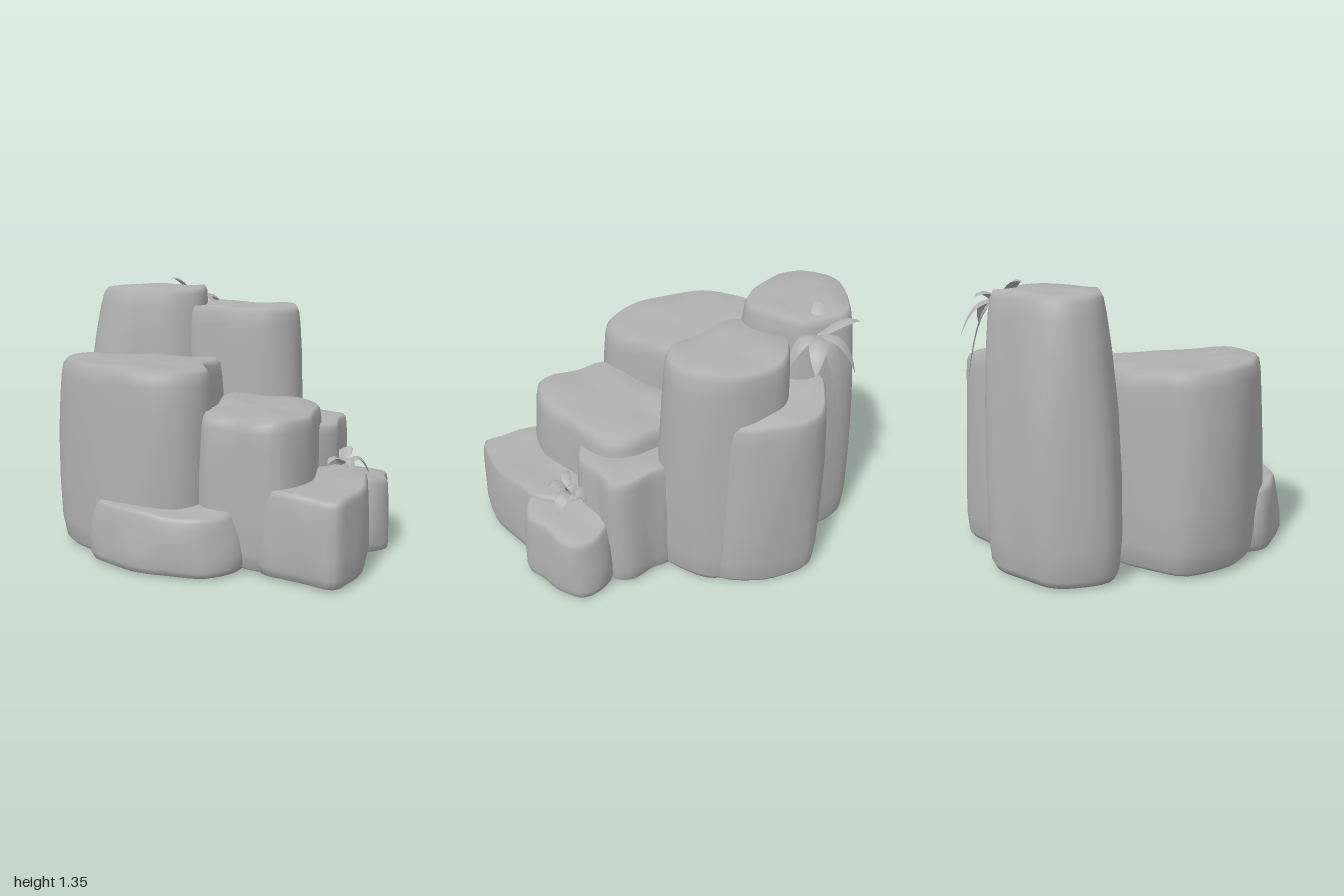
import * as THREE from 'three';

const N = 48;
// Wall profile: [height fraction, outline scale]
const PROFILE = [[0.012, 0.9], [0.035, 0.96], [0.14, 1], [0.35, 1.005], [0.6, 1], [0.8, 0.985], [0.92, 0.97], [0.975, 0.95], [1, 0.9], [1, 0.55]];

// Boulder lofted from an x,z outline; the top may shrink, shift and tilt
function rock(name, flat, h, material, o = {}) {
  const { top = 0.97, dx = 0, dz = 0, sx = 0, sz = 0, seed = 0, bump = 0.012 } = o;
  const pts = [];
  for (let i = 0; i < flat.length; i += 2) pts.push(new THREE.Vector3(flat[i], 0, flat[i + 1]));
  const curve = new THREE.CatmullRomCurve3(pts, true, 'centripetal');
  const ring = curve.getSpacedPoints(N).slice(0, N);
  let area = 0;
  ring.forEach((p, i) => {
    const q = ring[(i + 1) % N];
    area += p.x * q.z - q.x * p.z;
  });
  if (area < 0) ring.reverse();
  const c = new THREE.Vector3();
  ring.forEach(p => c.addScaledVector(p, 1 / N));

  const pos = [], index = [];
  for (const [t, s] of PROFILE) {
    const k = s * (1 + (top - 1) * t * t);
    ring.forEach((p, i) => {
      const a = i / N * Math.PI * 2;
      const lump = 1 + bump * (Math.sin(4 * a + t * 5 + seed) + Math.sin(7 * a - t * 4 + seed * 2) - 1);
      const x = (p.x - c.x) * k * lump, z = (p.z - c.z) * k * lump;
      const wave = t > 0.7 ? 0.01 * Math.sin(x * 13 + seed) * Math.cos(z * 11 + seed) : 0;
      const y = t < 0.02 ? 0.01 : t * (h + sx * x + sz * z) + wave;
      pos.push(c.x + x + dx * t * t, y, c.z + z + dz * t * t);
    });
  }
  const rows = PROFILE.length;
  for (let r = 0; r < rows - 1; r++) for (let i = 0; i < N; i++) {
    const a = r * N + i, b = r * N + (i + 1) % N;
    index.push(a, a + N, b, b, a + N, b + N);
  }
  // Top and underside caps
  const hi = pos.length / 3, last = (rows - 1) * N;
  pos.push(c.x + dx, h, c.z + dz, c.x, 0, c.z);
  for (let i = 0; i < N; i++) {
    const j = (i + 1) % N;
    index.push(hi, last + j, last + i, hi + 1, i, j);
  }
  const g = new THREE.BufferGeometry();
  g.setAttribute('position', new THREE.Float32BufferAttribute(pos, 3));
  g.setIndex(index);
  g.computeVertexNormals();
  const m = new THREE.Mesh(g, material);
  m.name = name;
  return m;
}

// Pointed, folded leaf that arches from its root to its tip
function leaf(root, mid, tip, width, material) {
  const curve = new THREE.QuadraticBezierCurve3(new THREE.Vector3(...root), new THREE.Vector3(...mid), new THREE.Vector3(...tip));
  const pos = [], index = [], S = 8;
  const along = new THREE.Vector3(tip[0] - root[0], 0, tip[2] - root[2]).normalize();
  const side = new THREE.Vector3(-along.z, 0, along.x);
  for (let i = 0; i <= S; i++) {
    const t = i / S, p = curve.getPoint(t);
    const w = width * (0.25 + 1.5 * t) * (1 - t) * 1.4;
    for (const k of [-1, 0, 1]) pos.push(p.x + side.x * w * k, p.y - (k ? w * 0.4 : 0), p.z + side.z * w * k);
    if (i < S) for (let k = 0; k < 2; k++) {
      const a = i * 3 + k;
      index.push(a, a + 1, a + 3, a + 1, a + 4, a + 3);
    }
  }
  const g = new THREE.BufferGeometry();
  g.setAttribute('position', new THREE.Float32BufferAttribute(pos, 3));
  g.setIndex(index);
  g.computeVertexNormals();
  const m = new THREE.Mesh(g, material);
  m.name = 'leaf';
  return m;
}

function plant(name, root, leaves, material) {
  const group = new THREE.Group();
  group.name = name;
  for (const [tip, lift, width] of leaves) {
    const mid = [(root[0] + tip[0] * 2) / 3, Math.max(root[1], tip[1]) + lift, (root[2] + tip[2] * 2) / 3];
    group.add(leaf(root, mid, tip, width, material));
  }
  return group;
}

export function createModel() {
  const stone = new THREE.MeshStandardMaterial({ color: 0xb0b0b0, side: THREE.DoubleSide });
  stone.name = 'stone grey';
  const model = new THREE.Group();
  model.name = 'rockCluster';

  model.add(
    // Tall back boulders
    rock('backTallRock', [-0.49, -0.74, -0.43, -0.9, -0.32, -0.99, -0.1, -1.01, 0.1, -0.99, 0.2, -0.88, 0.28, -0.7, 0.2, -0.5,
      0.05, -0.35, -0.1, -0.36, -0.3, -0.5, -0.42, -0.6], 1.31, stone, { top: 0.83, dx: 0.06, dz: 0.03, seed: 1 }),
    rock('rightTallRock', [0.0, -0.36, 0.08, -0.55, 0.25, -0.64, 0.46, -0.6, 0.6, -0.46, 0.65, -0.28, 0.6, -0.1, 0.48, 0.01,
      0.3, -0.02, 0.2, -0.13, 0.08, -0.25], 1.21, stone, { top: 0.95, seed: 2, sz: -0.02 }),
    rock('rightBackRock', [0.2, -0.8, 0.4, -0.82, 0.52, -0.78, 0.62, -0.63, 0.66, -0.4, 0.6, -0.25, 0.3, -0.3, 0.15, -0.55],
      0.98, stone, { top: 0.95, seed: 3, sx: -0.15 }),
    // Broad left boulder with a low rock at its foot
    rock('leftBroadRock', [-0.8, -0.2, -0.77, -0.38, -0.7, -0.5, -0.58, -0.54, -0.3, -0.58, -0.12, -0.42, 0.12, -0.2, 0.08, -0.1,
      -0.1, 0.07, -0.18, 0.25, -0.25, 0.34, -0.4, 0.37, -0.57, 0.29, -0.7, 0.1], 0.955, stone, { seed: 4, top: 0.98, bump: 0.007, sx: -0.04 }),
    rock('leftFootRock', [-0.77, 0.02, -0.73, 0.2, -0.66, 0.35, -0.54, 0.49, -0.4, 0.59, -0.24, 0.59, -0.1, 0.45, -0.15, 0.15,
      -0.45, 0, -0.68, -0.08], 0.31, stone, { top: 0.9, sz: -0.08, seed: 5 }),
    // Middle step and its right ledge
    rock('middleStepRock', [-0.33, 0.37, -0.24, 0.52, -0.17, 0.66, -0.08, 0.72, 0.12, 0.66, 0.28, 0.5, 0.47, 0.28, 0.48, 0.16,
      0.36, 0.0, 0.2, -0.22, 0.08, -0.15, -0.08, 0.08, -0.2, 0.2], 0.74, stone, { seed: 6, top: 0.98, sx: -0.02, bump: 0.009 }),
    rock('rightLedgeRock', [0.3, -0.08, 0.52, -0.07, 0.58, 0.02, 0.67, 0.13, 0.68, 0.22, 0.58, 0.31, 0.46, 0.42, 0.25, 0.4, 0.2, 0.1],
      0.64, stone, { seed: 7, top: 0.98 }),
    // Low front steps
    rock('frontStepRock', [-0.16, 0.66, -0.12, 0.77, -0.05, 0.9, 0.02, 1.01, 0.12, 0.98, 0.27, 0.9, 0.41, 0.76, 0.52, 0.6, 0.5, 0.38,
      0.2, 0.35, -0.08, 0.5], 0.425, stone, { seed: 8, top: 0.97, bump: 0.008 }),
    rock('rightFootRock', [0.38, 0.55, 0.45, 0.68, 0.6, 0.68, 0.68, 0.58, 0.77, 0.48, 0.8, 0.37, 0.74, 0.27, 0.6, 0.22, 0.42, 0.3],
      0.38, stone, { seed: 9, top: 0.93, sx: -0.2 }),
    // Small plants growing in the cracks
    plant('upperPlant', [0.24, 1.23, -0.74], [
      [[0.08, 1.34, -0.75], 0.05, 0.05], [[0.18, 1.28, -0.94], 0.06, 0.05], [[0.45, 1.12, -0.72], 0.08, 0.06],
      [[0.36, 0.86, -0.86], 0.08, 0.06], [[0.35, 1.1, -0.6], 0.08, 0.05], [[0.14, 1.27, -0.6], 0.05, 0.04],
      [[0.33, 1.08, -0.92], 0.08, 0.05]], stone),
    plant('lowerPlant', [0.47, 0.43, 0.46], [
      [[0.34, 0.45, 0.5], 0.08, 0.035], [[0.44, 0.42, 0.58], 0.1, 0.04], [[0.61, 0.37, 0.5], 0.1, 0.05],
      [[0.56, 0.44, 0.36], 0.12, 0.04], [[0.55, 0.46, 0.42], 0.12, 0.04]], stone),
  );
  return model;
}
